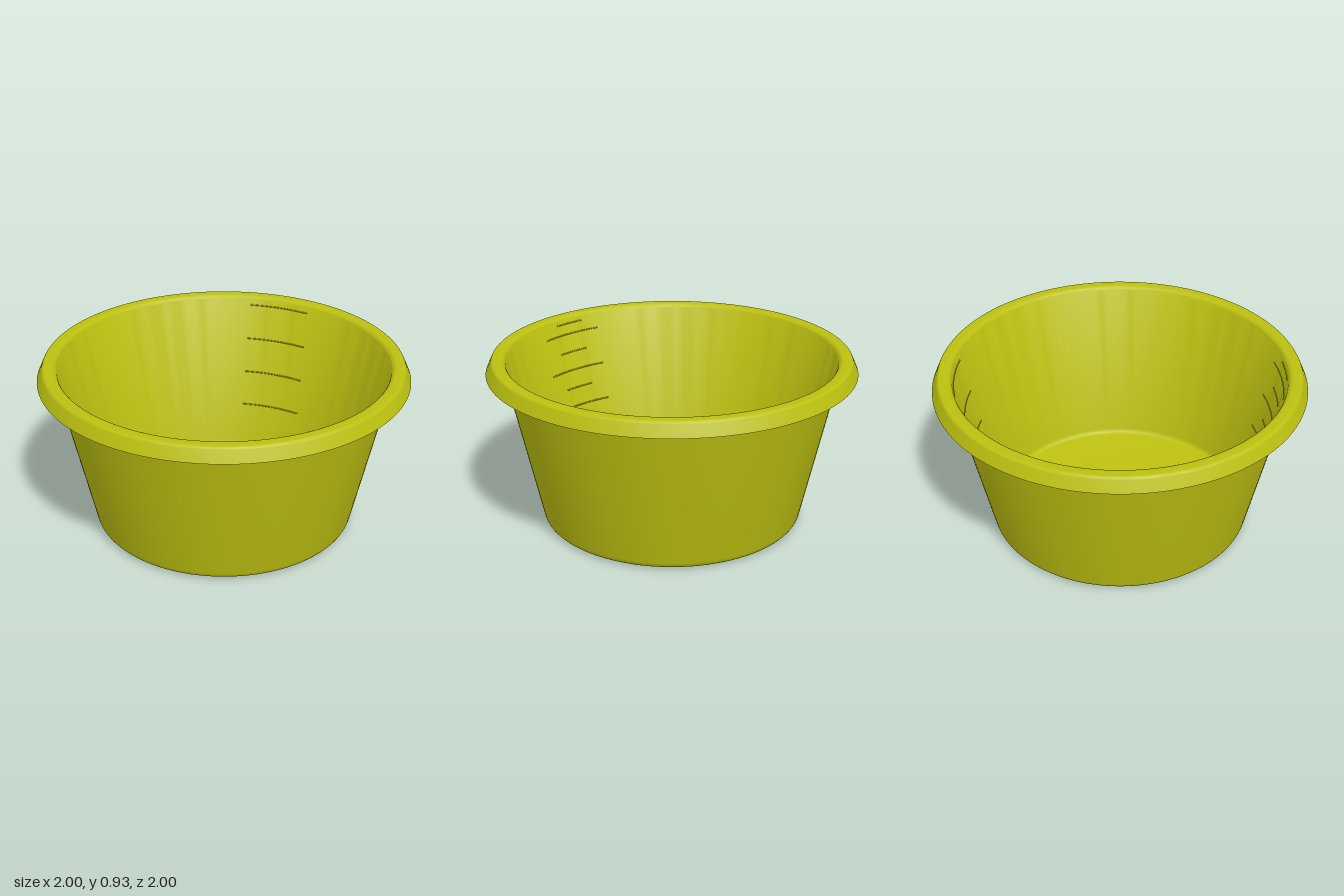
import * as THREE from 'three';
import { toCreasedNormals } from 'three/addons/utils/BufferGeometryUtils.js';

const material = new THREE.MeshStandardMaterial({ color: 0xbcc010 });

// Inner wall radius at height y
const innerRadius = (y) => 0.692 + 0.22 * y;

function addMesh(parent, name, geometry) {
  const mesh = new THREE.Mesh(geometry, material);
  mesh.name = name;
  parent.add(mesh);
  return mesh;
}

// Closed wall section: underside, outer wall, hollow turned-down rim, inner wall, floor
function bowlGeometry() {
  const s = new THREE.Path();
  s.moveTo(0, 0);
  s.lineTo(0.675, 0);
  s.quadraticCurveTo(0.714, 0.002, 0.721, 0.04);
  s.lineTo(0.912, 0.905); // under the rim
  s.lineTo(0.945, 0.905);
  s.quadraticCurveTo(0.952, 0.905, 0.956, 0.895);
  s.lineTo(0.982, 0.855); // lower edge of the lip
  s.lineTo(1, 0.855);
  s.lineTo(0.972, 0.918);
  s.quadraticCurveTo(0.967, 0.93, 0.955, 0.93);
  s.lineTo(0.92, 0.93);
  s.quadraticCurveTo(0.901, 0.93, innerRadius(0.91), 0.91);
  s.lineTo(innerRadius(0.05), 0.05);
  s.quadraticCurveTo(0.698, 0.022, 0.675, 0.02);
  s.lineTo(0, 0.02);
  const geometry = new THREE.LatheGeometry(s.getPoints(6), 128);
  return toCreasedNormals(geometry, 0.5);
}

// Thin raised arc on the inner wall; side is +1 for front, -1 for back
function addMark(parent, y, halfWidth, side) {
  const r = innerRadius(y);
  const half = Math.asin(halfWidth / r);
  const geometry = new THREE.TorusGeometry(r, 0.004, 6, 24, 2 * half);
  geometry.rotateZ(Math.PI / 2 - half);
  geometry.rotateX((side * Math.PI) / 2);
  geometry.translate(0, y, 0);
  addMesh(parent, 'measuringLine', geometry);
}

export function createModel() {
  const model = new THREE.Group();
  model.name = 'measuringBowl';
  addMesh(model, 'bowl', bowlGeometry());

  // Small webs between the wall and the turned-down lip
  for (let i = 0; i < 4; i++) {
    const web = new THREE.Shape([
      new THREE.Vector2(0.9, 0.872),
      new THREE.Vector2(0.973, 0.872),
      new THREE.Vector2(0.95, 0.912),
      new THREE.Vector2(0.908, 0.912),
    ]);
    const geometry = new THREE.ExtrudeGeometry(web, { depth: 0.022, bevelEnabled: false });
    geometry.translate(0, 0, -0.011);
    addMesh(model, 'rimWeb', geometry).rotation.y = Math.PI / 6 + (i * Math.PI) / 2;
  }

  // Measuring scales
  const backScale = new THREE.Group();
  backScale.name = 'backScale';
  const frontScale = new THREE.Group();
  frontScale.name = 'frontScale';
  for (let i = 0; i < 4; i++) {
    addMark(backScale, 0.28 + 0.2 * i, 0.18, -1);
    addMark(frontScale, 0.2 + 0.21 * i, 0.19, 1);
    addMark(frontScale, Math.min(0.305 + 0.21 * i, 0.89), 0.095, 1);
  }
  model.add(backScale, frontScale);
  return model;
}
